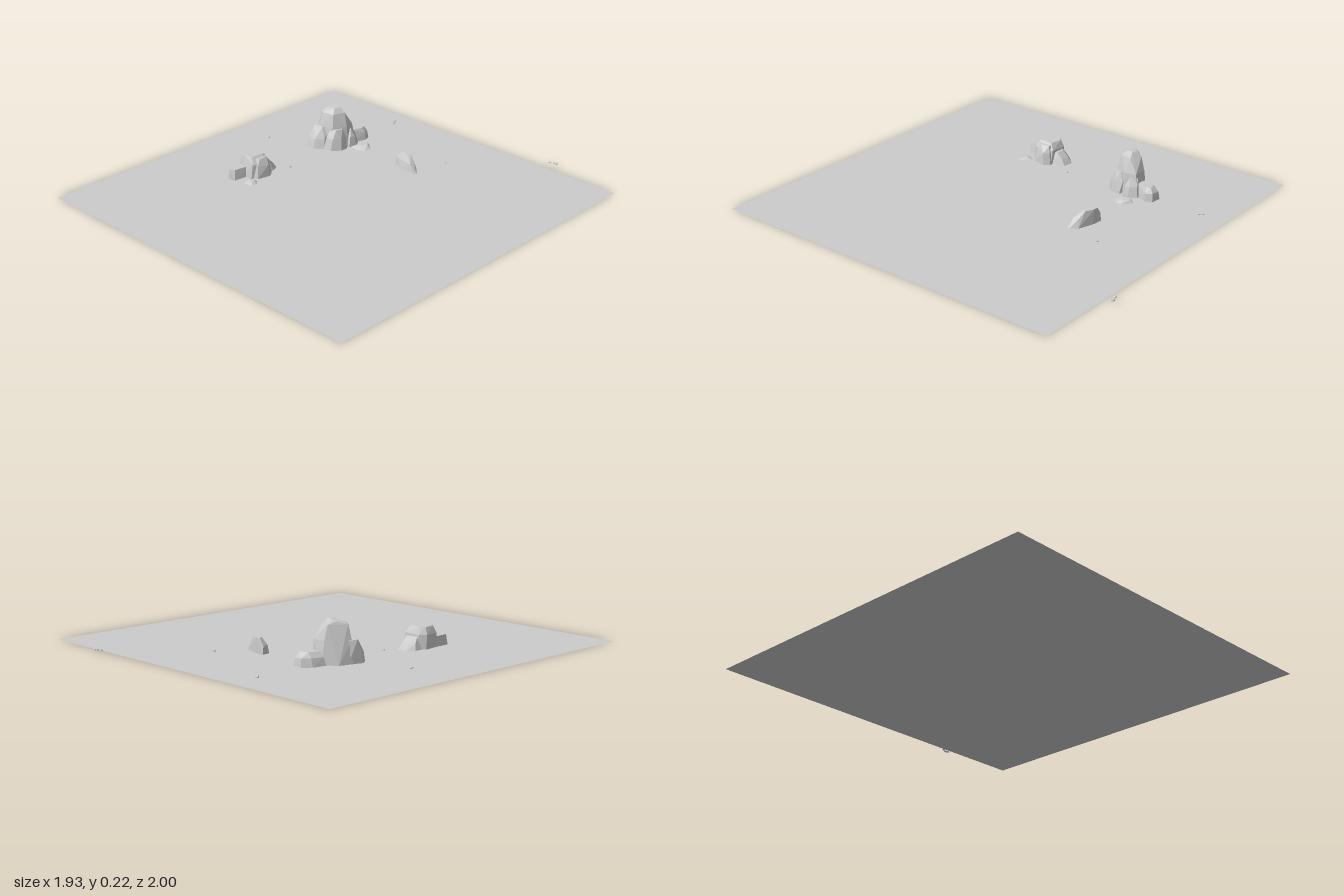
import * as THREE from 'three';
import { ConvexGeometry } from 'three/addons/geometries/ConvexGeometry.js';

const stone = new THREE.MeshStandardMaterial({ color: 0xcccccc, flatShading: true });

// A chiselled boulder: hull of horizontal rings, each ring = [height, [x, z], [x, z], ...]
function rock(name, ...rings) {
  const points = rings.flatMap(([y, ...ring]) => ring.map(([x, z]) => new THREE.Vector3(x, y, z)));
  const mesh = new THREE.Mesh(new ConvexGeometry(points), stone);
  mesh.name = name;
  return mesh;
}

function cluster(name, ...rocks) {
  const group = new THREE.Group();
  group.name = name;
  group.add(...rocks);
  return group;
}

export function createModel() {
  const model = new THREE.Group();
  model.name = 'rockyGround';

  // Flat ground sheet
  const ground = new THREE.Mesh(
    new THREE.PlaneGeometry(1.935, 1.94).rotateX(-Math.PI / 2),
    new THREE.MeshStandardMaterial({ color: 0xcccccc, side: THREE.DoubleSide })
  );
  ground.name = 'ground';
  ground.position.set(0, 0, 0.03);
  model.add(ground);

  // Tall outcrop with smaller boulders leaning on it
  model.add(cluster('tallOutcrop',
    rock('tallBoulder',
      [0.02, [-0.51, -0.35], [-0.46, -0.3], [-0.37, -0.32], [-0.335, -0.4], [-0.35, -0.47], [-0.43, -0.47], [-0.49, -0.42]],
      [0.13, [-0.5, -0.35], [-0.46, -0.315], [-0.38, -0.33], [-0.345, -0.4], [-0.36, -0.455], [-0.43, -0.455]],
      [0.2, [-0.485, -0.36], [-0.46, -0.335], [-0.39, -0.345], [-0.37, -0.41], [-0.43, -0.435]],
      [0.215, [-0.465, -0.37], [-0.45, -0.4]],
      [0.225, [-0.405, -0.37], [-0.395, -0.405], [-0.43, -0.41]]),
    rock('frontBoulder',
      [0.02, [-0.525, -0.3], [-0.5, -0.265], [-0.45, -0.255], [-0.405, -0.29], [-0.4, -0.34], [-0.5, -0.37]],
      [0.07, [-0.525, -0.31], [-0.5, -0.275], [-0.45, -0.27], [-0.41, -0.3]],
      [0.13, [-0.52, -0.335], [-0.49, -0.305], [-0.435, -0.31], [-0.42, -0.35], [-0.49, -0.37]]),
    rock('sideBoulder',
      [0.02, [-0.41, -0.29], [-0.36, -0.295], [-0.325, -0.34], [-0.325, -0.38], [-0.38, -0.41]],
      [0.08, [-0.4, -0.305], [-0.36, -0.31], [-0.335, -0.35], [-0.34, -0.39]],
      [0.125, [-0.395, -0.33], [-0.36, -0.335], [-0.35, -0.37], [-0.39, -0.39]]),
    rock('rearSideBoulder',
      [0.02, [-0.37, -0.39], [-0.325, -0.4], [-0.315, -0.44], [-0.34, -0.48], [-0.4, -0.48]],
      [0.07, [-0.36, -0.4], [-0.33, -0.41], [-0.325, -0.44], [-0.35, -0.47]],
      [0.11, [-0.37, -0.42], [-0.345, -0.43], [-0.37, -0.46]]),
    rock('backBoulder',
      [0.02, [-0.45, -0.46], [-0.435, -0.53], [-0.4, -0.57], [-0.345, -0.565], [-0.33, -0.53], [-0.36, -0.45]],
      [0.06, [-0.44, -0.47], [-0.425, -0.53], [-0.395, -0.565], [-0.35, -0.56], [-0.335, -0.53]],
      [0.085, [-0.42, -0.47], [-0.405, -0.53], [-0.36, -0.545], [-0.35, -0.52], [-0.37, -0.46]]),
    rock('flatSlab',
      [0.02, [-0.325, -0.41], [-0.28, -0.5], [-0.23, -0.46], [-0.235, -0.42], [-0.28, -0.4]],
      [0.035, [-0.295, -0.47], [-0.275, -0.485], [-0.25, -0.455], [-0.285, -0.43]])
  ));

  // Medium outcrop
  model.add(cluster('mediumOutcrop',
    rock('mainBoulder',
      [0.02, [-0.525, 0.12], [-0.515, 0.2], [-0.48, 0.225], [-0.41, 0.22], [-0.385, 0.16], [-0.4, 0.1], [-0.49, 0.09]],
      [0.09, [-0.525, 0.125], [-0.515, 0.2], [-0.41, 0.21], [-0.39, 0.16], [-0.41, 0.1], [-0.5, 0.095]],
      [0.125, [-0.51, 0.13], [-0.505, 0.185], [-0.49, 0.2], [-0.43, 0.195], [-0.425, 0.12], [-0.49, 0.11]]),
    rock('sideBoulder',
      [0.02, [-0.43, 0.095], [-0.39, 0.1], [-0.37, 0.13], [-0.385, 0.2], [-0.43, 0.22]],
      [0.08, [-0.43, 0.105], [-0.395, 0.11], [-0.375, 0.135], [-0.395, 0.19]],
      [0.115, [-0.43, 0.12], [-0.405, 0.12], [-0.4, 0.17], [-0.43, 0.19]]),
    rock('backBoulder',
      [0.02, [-0.51, 0.06], [-0.48, 0.03], [-0.425, 0.035], [-0.405, 0.07], [-0.41, 0.13], [-0.51, 0.13]],
      [0.05, [-0.5, 0.07], [-0.475, 0.05], [-0.43, 0.055], [-0.415, 0.08]],
      [0.08, [-0.49, 0.095], [-0.47, 0.08], [-0.43, 0.085], [-0.43, 0.12], [-0.49, 0.12]]),
    rock('frontBoulder',
      [0.02, [-0.515, 0.2], [-0.512, 0.285], [-0.49, 0.298], [-0.455, 0.29], [-0.445, 0.2]],
      [0.07, [-0.51, 0.2], [-0.505, 0.28], [-0.485, 0.295], [-0.465, 0.28], [-0.455, 0.2]]),
    rock('flatSlab',
      [0.02, [-0.415, 0.26], [-0.4, 0.215], [-0.375, 0.215], [-0.345, 0.245], [-0.345, 0.275], [-0.4, 0.28]],
      [0.03, [-0.395, 0.25], [-0.375, 0.235], [-0.365, 0.26]])
  ));

  // Lone wedge-shaped boulder
  model.add(rock('loneBoulder',
    [0.01, [-0.04, -0.48], [-0.035, -0.435], [0.02, -0.41], [0.12, -0.4], [0.127, -0.415], [0.1, -0.45], [0.02, -0.475]],
    [0.05, [-0.04, -0.475], [-0.03, -0.44], [0.02, -0.42], [0.09, -0.41], [0.09, -0.44]],
    [0.085, [-0.015, -0.475], [0, -0.45], [0.045, -0.435], [0.055, -0.455], [0.01, -0.475]]));

  // Scattered pebbles: [x, z, radius]
  const pebbles = [[0.54, -0.98, 0.008], [0.56, -0.99, 0.007], [0.575, -0.99, 0.01], [-0.395, -0.825, 0.008],
    [-0.38, -0.81, 0.008], [0.16, -0.605, 0.006], [-0.735, -0.205, 0.008], [-0.725, -0.2, 0.006], [-0.38, -0.02, 0.006]];
  pebbles.forEach(([x, z, r], i) => {
    const pebble = new THREE.Mesh(new THREE.DodecahedronGeometry(1), stone);
    pebble.name = 'pebble' + (i + 1);
    pebble.scale.set(r * 1.2, 0.005, r);
    pebble.position.set(x, 0.018, z);
    pebble.rotation.y = i * 1.3;
    model.add(pebble);
  });

  return model;
}
